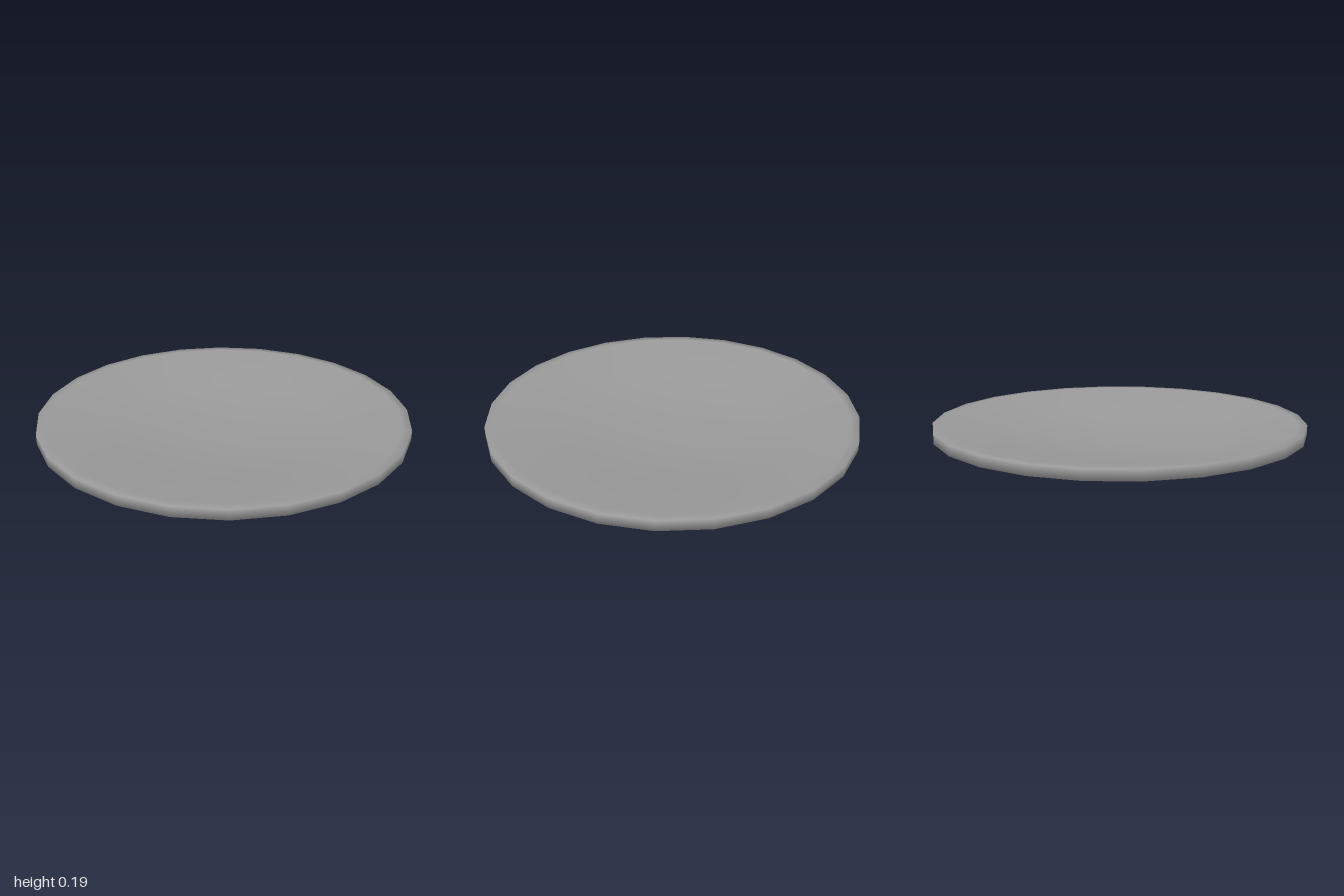
import * as THREE from 'three';

const SIDES = 24;
// The foot is very slightly oval
const FOOT_X = 0.55, FOOT_Z = 0.575;

// Lathe whose smooth normals weigh both neighbouring profile segments equally
function softLathe(points) {
  const geometry = new THREE.LatheGeometry(points, SIDES);
  const segmentNormals = points.slice(1).map((p, i) => {
    const d = p.clone().sub(points[i]).normalize();
    return new THREE.Vector2(d.y, -d.x);
  });
  const pointNormals = points.map((p, i) => {
    const before = segmentNormals[Math.max(i - 1, 0)];
    const after = segmentNormals[Math.min(i, segmentNormals.length - 1)];
    return before.clone().add(after).normalize();
  });
  pointNormals[points.length - 1].set(0, 1);
  for (let i = 0; i <= SIDES; i++) {
    const phi = (i / SIDES) * Math.PI * 2;
    pointNormals.forEach((n, j) => geometry.attributes.normal.setXYZ(
      i * points.length + j, n.x * Math.sin(phi), n.y, n.x * Math.cos(phi)));
  }
  return geometry;
}

export function createModel() {
  const group = new THREE.Group();
  group.name = 'plate';
  const material = new THREE.MeshStandardMaterial({ color: 0x999999 });

  // Foot wall, sloping underside, upright rim, narrow lip, sloping dish and shallow floor
  const profile = [
    [1, 0], [0.61, 0.051], [1, 0.135], [1, 0.19],
    [0.955, 0.19], [0.59, 0.102], [0, 0.058],
  ].map(([r, y]) => new THREE.Vector2(r, y));
  profile[0].x = (FOOT_X + FOOT_Z) / 2;
  const bodyGeometry = softLathe(profile);

  // Shape the bottom ring into the oval foot
  const position = bodyGeometry.attributes.position;
  for (let i = 0; i < position.count; i += profile.length) {
    position.setX(i, position.getX(i) * FOOT_X / profile[0].x);
    position.setZ(i, position.getZ(i) * FOOT_Z / profile[0].x);
  }
  const body = new THREE.Mesh(bodyGeometry, material);
  body.name = 'plateBody';
  group.add(body);

  // Flat underside of the foot, with a crisp edge
  const base = new THREE.Mesh(
    new THREE.CircleGeometry(1, SIDES).rotateX(Math.PI / 2).scale(FOOT_X, 1, FOOT_Z), material);
  base.name = 'footBase';
  group.add(base);

  return group;
}
